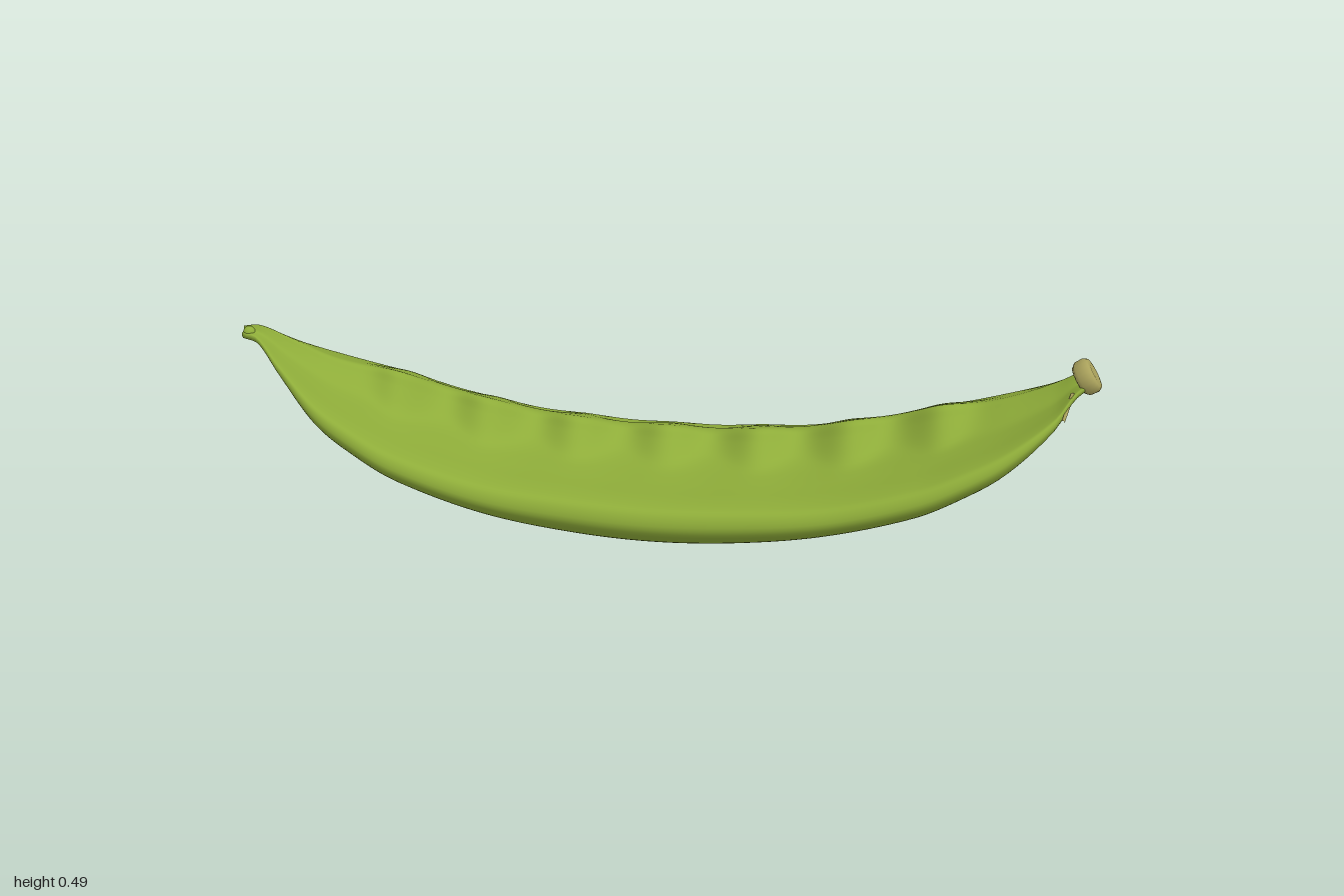
import * as THREE from 'three';

const podGreen = new THREE.MeshStandardMaterial({ color: 0x8eac39 });
podGreen.name = 'pod green';
const stemTan = new THREE.MeshStandardMaterial({ color: 0xaaa25c });
stemTan.name = 'stem tan';

// Stations along the pod: x, bottom y, front rim y, crest y, half width
const STATIONS = [
  [-1.0, 0.418, 0.436, 0.447, 0.016], [-0.96, 0.405, 0.431, 0.450, 0.028],
  [-0.9, 0.335, 0.385, 0.418, 0.075], [-0.8, 0.225, 0.32, 0.362, 0.15],
  [-0.7, 0.16, 0.275, 0.335, 0.192], [-0.6, 0.11, 0.235, 0.306, 0.216],
  [-0.4, 0.045, 0.182, 0.25, 0.23], [-0.2, 0.01, 0.16, 0.217, 0.233],
  [0, 0, 0.152, 0.206, 0.237], [0.2, 0.013, 0.16, 0.215, 0.235],
  [0.4, 0.05, 0.182, 0.25, 0.231], [0.6, 0.11, 0.235, 0.308, 0.217],
  [0.7, 0.16, 0.275, 0.336, 0.198], [0.8, 0.225, 0.322, 0.366, 0.163],
  [0.9, 0.33, 0.385, 0.42, 0.098], [0.94, 0.395, 0.425, 0.452, 0.044],
  [0.97, 0.425, 0.448, 0.476, 0.03],
];

// Smooth interpolation of one station column
function sample(x, k) {
  const S = STATIONS, last = S.length - 1;
  let i = 0;
  while (i < last - 1 && x > S[i + 1][0]) i++;
  const slope = (j) => {
    const a = S[Math.max(0, j - 1)], b = S[Math.min(last, j + 1)];
    return (b[k] - a[k]) / (b[0] - a[0]);
  };
  const d = S[i + 1][0] - S[i][0], t = (x - S[i][0]) / d, t2 = t * t, t3 = t2 * t;
  return (2 * t3 - 3 * t2 + 1) * S[i][k] + (t3 - 2 * t2 + t) * d * slope(i)
    + (3 * t2 - 2 * t3) * S[i + 1][k] + (t3 - t2) * d * slope(i + 1);
}

// Cross-section: rounded belly, flat front face, wavy crest, rounded back
function section(x, count) {
  const [b, r, c0, w] = [1, 2, 3, 4].map((k) => sample(x, k));
  const fade = 1 - THREE.MathUtils.smoothstep(Math.abs(x), 0.62, 0.82);
  const wave = Math.cos((x - 0.005) * Math.PI * 2 / 0.215) * fade;
  const c = c0 + 0.016 * wave, h = r - b, rise = c - r;
  const cz = w * (-0.36 + 0.1 * wave + 0.15 * Math.abs(x));
  const pts = [
    [0, b], [0.42 * w, b + 0.08 * h], [0.64 * w, b + 0.2 * h], [0.85 * w, b + 0.41 * h],
    [w, b + 0.72 * h], [0.95 * w, b + 0.97 * h], [0.8 * w, r + 0.03 * h], [0.4 * w, r + 0.06 * rise],
    [cz + 0.34 * w, r + 0.16 * rise], [cz + 0.11 * w, r + 0.7 * rise], [cz, c],
    [cz - 0.15 * w, r + 0.86 * rise], [-0.72 * w, r + 0.38 * rise], [-0.93 * w, r],
    [-w, b + 0.76 * h], [-0.85 * w, b + 0.41 * h], [-0.64 * w, b + 0.2 * h], [-0.42 * w, b + 0.08 * h],
  ].map(([z, y]) => new THREE.Vector3(x, y, z));
  return new THREE.CatmullRomCurve3(pts, true, 'centripetal').getPoints(count).slice(0, count);
}

function podGeometry() {
  const rows = 170, n = 72, pos = [], idx = [];
  for (let i = 0; i <= rows; i++) {
    const x = -1 + 1.97 * i / rows;
    section(x, n).forEach((p) => pos.push(p.x, p.y, p.z));
  }
  for (let i = 0; i < rows; i++) {
    for (let j = 0; j < n; j++) {
      const a = i * n + j, c = i * n + (j + 1) % n;
      idx.push(a, a + n, c, a + n, c + n, c);
    }
  }
  // Close the blunt ends
  for (let j = 1; j < n - 1; j++) {
    idx.push(0, j, j + 1);
    const e = rows * n;
    idx.push(e, e + j + 1, e + j);
  }
  const g = new THREE.BufferGeometry();
  g.setAttribute('position', new THREE.Float32BufferAttribute(pos, 3));
  g.setIndex(idx);
  g.computeVertexNormals();
  return g;
}

export function createModel() {
  const group = new THREE.Group();
  group.name = 'peaPod';
  const add = (name, geometry, material) => {
    const m = new THREE.Mesh(geometry, material);
    m.name = name;
    group.add(m);
    return m;
  };

  add('pod', podGeometry(), podGreen);

  // Cut stem end, with softly bevelled edges
  const profile = [[0, -0.022], [0.032, -0.022], [0.041, -0.012], [0.042, 0.008], [0.036, 0.017], [0.025, 0.019], [0, 0.017]];
  const stem = add('stemEnd', new THREE.LatheGeometry(profile.map(([r, y]) => new THREE.Vector2(r, y)), 20), stemTan);
  stem.position.set(0.967, 0.45, 0.005 - 0.01);
  stem.rotation.z = -0.99;

  // Dried tip at the other end
  const tip = add('tip', new THREE.SphereGeometry(0.016, 14, 10), podGreen);
  tip.position.set(-0.986, 0.432, 0);

  // Withered sepals beside the stem
  const sepals = [
    [[0.935, 0.425, 0.035], [0.925, 0.395, 0.06], [0.915, 0.386, 0.104]],
    [[0.93, 0.41, 0.04], [0.905, 0.38, 0.07], [0.89, 0.362, 0.092]],
  ];
  sepals.forEach((p, i) => {
    const curve = new THREE.CatmullRomCurve3(p.map((v) => new THREE.Vector3(...v)));
    add('sepal' + (i + 1), new THREE.TubeGeometry(curve, 10, 0.004, 6), i ? podGreen : stemTan);
  });
  return group;
}
